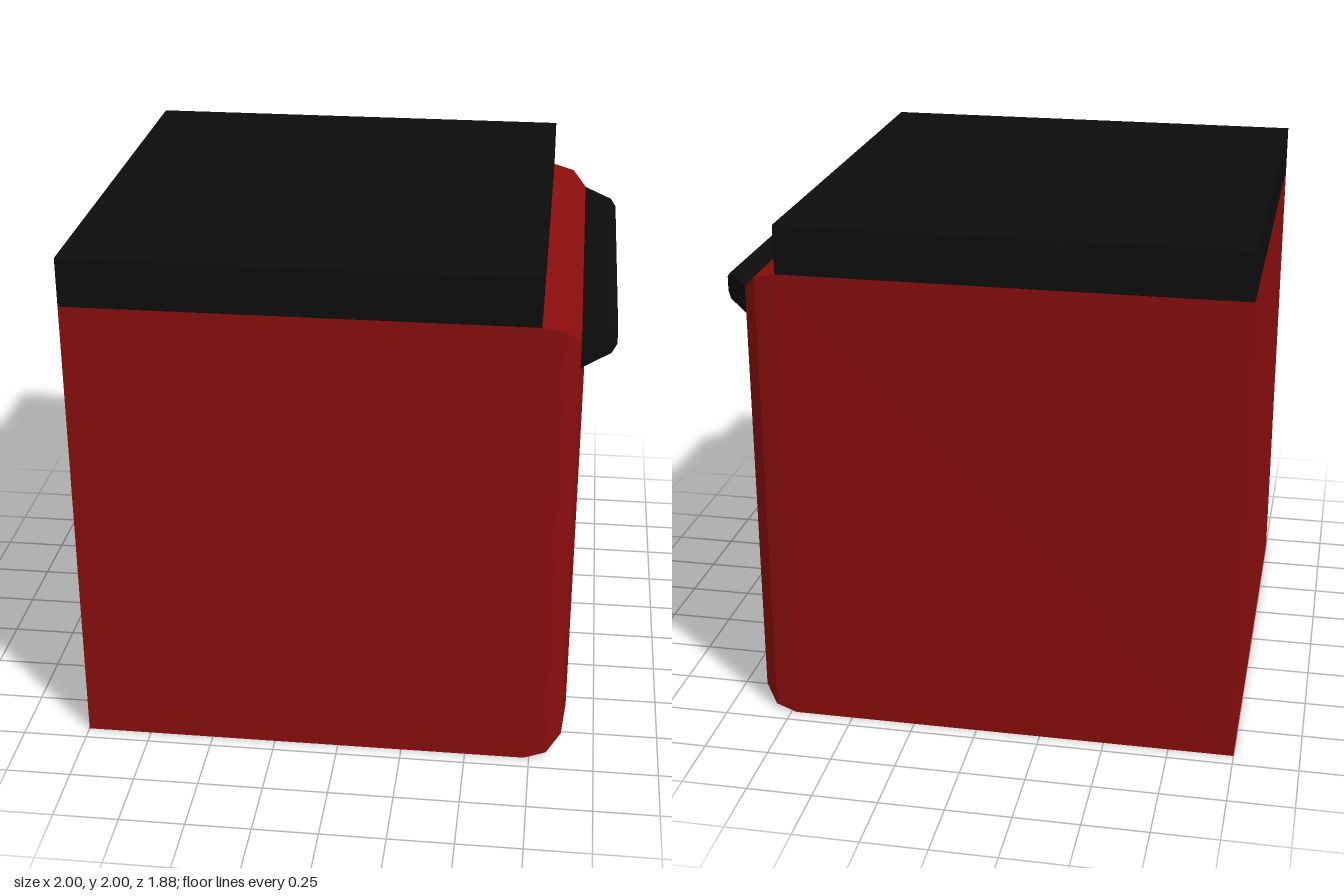
import * as THREE from 'three';

// Closed solid through rectangular sections [x, bottom, top, halfDepth] along x
function loft(sections) {
  const pos = [];
  const rings = sections.map(([x, y0, y1, h]) => [
    [x, y0, h], [x, y0, -h], [x, y1, -h], [x, y1, h],
  ]);
  const quad = (a, b, c, d) => pos.push(...a, ...b, ...c, ...a, ...c, ...d);
  for (let k = 0; k < rings.length - 1; k++) {
    for (let i = 0; i < 4; i++) {
      const j = (i + 1) % 4;
      quad(rings[k][i], rings[k][j], rings[k + 1][j], rings[k + 1][i]);
    }
  }
  quad(...rings[0].slice().reverse());
  quad(...rings[rings.length - 1]);
  const g = new THREE.BufferGeometry();
  g.setAttribute('position', new THREE.Float32BufferAttribute(pos, 3));
  g.computeVertexNormals();
  return g;
}

export function createModel() {
  const red = new THREE.MeshStandardMaterial({ name: 'deep red', color: 0x8a0d0d });
  const black = new THREE.MeshStandardMaterial({ name: 'black', color: 0x0d0d0d });
  const model = new THREE.Group();
  model.name = 'cabinet';
  const add = (name, geometry, material) => {
    const mesh = new THREE.Mesh(geometry, material);
    mesh.name = name;
    model.add(mesh);
    return mesh;
  };

  // Cabinet body with the door edge rounded off on the +x side
  add('body', loft([
    [-1, 0, 1.815, 0.942],
    [0.73, 0, 1.815, 0.942],
    [0.815, 0.02, 1.795, 0.925],
    [0.87, 0.075, 1.74, 0.87],
    [0.884, 0.16, 1.655, 0.79],
  ]), red);

  // Worktop, set back from the door
  const top = add('worktop', new THREE.BoxGeometry(1.73, 0.185, 1.884), black);
  top.position.set(-0.135, 1.9075, 0);

  // Full-width handle tapering outwards
  add('handle', loft([
    [0.86, 1.637, 1.738, 0.872],
    [0.872, 1.637, 1.738, 0.868],
    [0.98, 1.637, 1.738, 0.72],
    [1.0, 1.66, 1.715, 0.69],
  ]), black);

  // Dark grip strip on the door just under the handle
  const strip = new THREE.Shape([
    new THREE.Vector2(-0.8, 1.64), new THREE.Vector2(-0.7, 1.605),
    new THREE.Vector2(0.75, 1.605), new THREE.Vector2(0.8, 1.64),
  ]);
  const grip = add('gripStrip', new THREE.ExtrudeGeometry(strip, { depth: 0.006, bevelEnabled: false }), black);
  grip.rotation.y = Math.PI / 2;
  grip.position.x = 0.881;

  return model;
}
